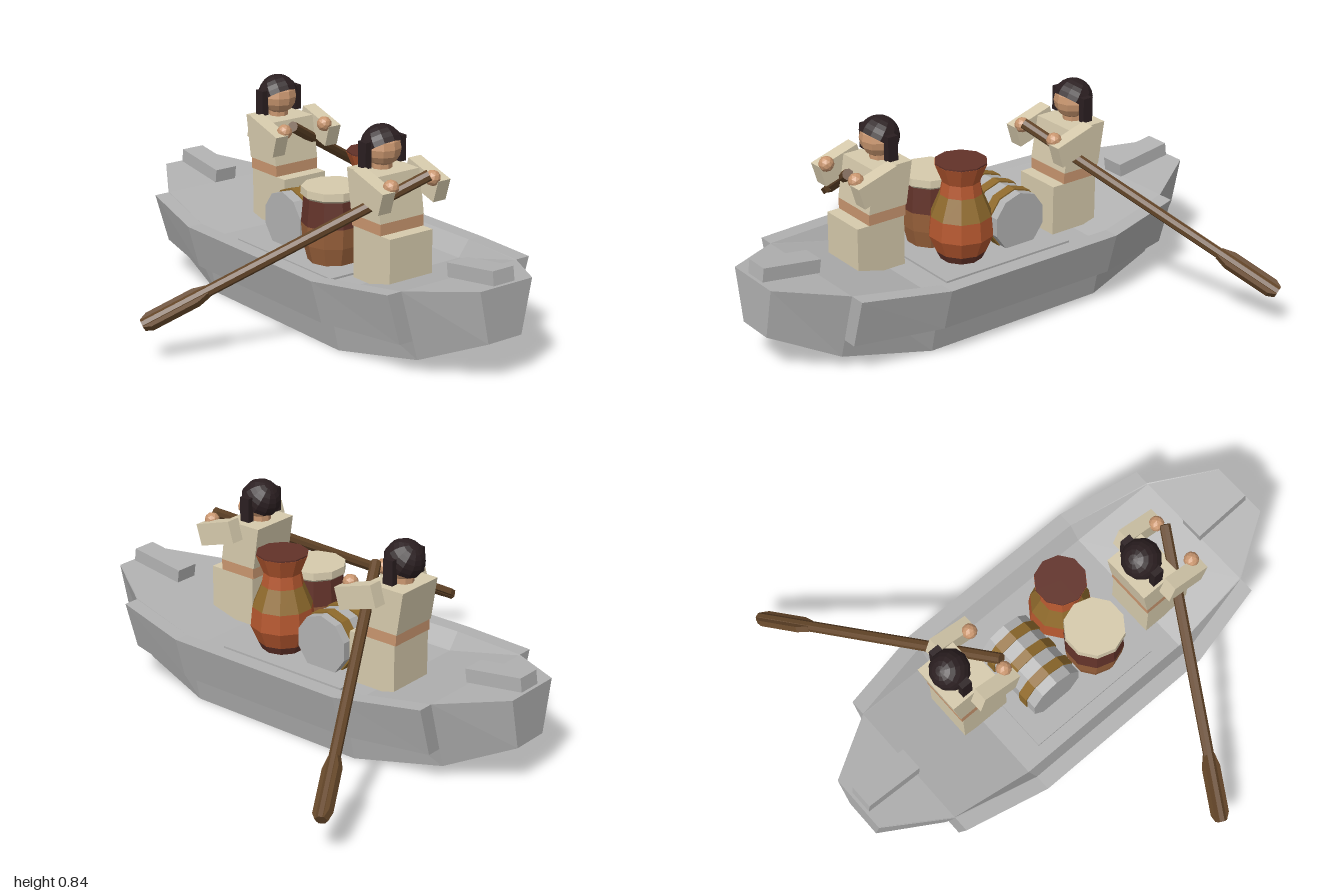
import * as THREE from 'three';

const mat = (name, color, side = THREE.FrontSide) => {
  const m = new THREE.MeshStandardMaterial({ color, side });
  m.name = name;
  return m;
};

// Faceted normals for the low-poly look
function flat(geo) {
  const g = geo.index ? geo.toNonIndexed() : geo;
  g.computeVertexNormals();
  return g;
}

// Skin a row of rings of [x, y, z]; rings run top, +z, bottom, -z, and rows run along +x
function loft(rings) {
  const n = rings[0].length, idx = [];
  for (let i = 0; i < rings.length - 1; i++) {
    for (let j = 0; j < n; j++) {
      const a = i * n + j, b = i * n + (j + 1) % n;
      idx.push(a, b, b + n, a, b + n, a + n);
    }
  }
  const last = (rings.length - 1) * n;
  for (let j = 1; j < n - 1; j++) idx.push(0, j + 1, j, last, last + j, last + j + 1);
  const g = new THREE.BufferGeometry();
  g.setAttribute('position', new THREE.Float32BufferAttribute(rings.flat(2), 3));
  g.setIndex(idx);
  return flat(g);
}

export function createModel() {
  const gray = mat('hull gray', 0xb2b2b2);
  const cloth = mat('cream cloth', 0xd6caac);
  const skin = mat('skin', 0xc9966f);
  const hair = mat('dark hair', 0x2b1f21);
  const wood = mat('paddle wood', 0x644629);
  const orange = mat('orange clay', 0xb4572f);
  const ochre = mat('ochre band', 0x8f6a2c);
  const maroon = mat('maroon', 0x623229);
  const brown = mat('drum brown', 0x99613b);

  const model = new THREE.Group();
  const add = (parent, name, geo, material, x = 0, y = 0, z = 0) => {
    const m = new THREE.Mesh(geo, material);
    m.name = name;
    m.position.set(x, y, z);
    parent.add(m);
    return m;
  };
  const box = (w, h, d) => new THREE.BoxGeometry(w, h, d);

  // Hull: half stations as x, bottom y/z, rim y/z, floor y/z
  const half = [
    [0.4, 0, 0.29, 0.305, 0.355, 0.24, 0.305],
    [0.75, 0.05, 0.2, 0.335, 0.28, 0.334, 0.275],
    [1, 0.16, 0.08, 0.37, 0.125, 0.37, 0.12],
  ];
  const mirrorX = a => [...a.map(([x, ...r]) => [-x, ...r]).reverse(), ...a];
  const hullRings = mirrorX(half).map(([x, by, bz, ry, rz, fy, fz]) => [
    [x, fy, fz], [x, ry, rz], [x, by, bz], [x, by, -bz], [x, ry, -rz], [x, fy, -fz],
  ]);
  const boat = new THREE.Group();
  boat.name = 'boat';
  model.add(boat);
  add(boat, 'hull', loft(hullRings), gray);

  // Side planks: x, top y, inner/outer top z, inner/outer bottom z
  const plank = [[0.4, 0.305, 0.355, 0.42, 0.3, 0.372], [0.75, 0.335, 0.28, 0.345, 0.22, 0.285]];
  for (const s of [1, -1]) {
    const rings = mirrorX(plank).map(([x, y, ti, to, bi, bo]) => {
      const r = [[x, y, s * ti], [x, y, s * to], [x, 0.13, s * bo], [x, 0.13, s * bi]];
      return s > 0 ? r : r.reverse();
    });
    add(boat, 'sidePlank', loft(rings), gray);
    // Raised block on each end deck
    add(boat, 'endBlock', box(0.25, 0.055, 0.1), gray, s * 0.86, 0.381, 0).rotation.z = s * 0.14;
  }
  add(boat, 'floorPlate', box(0.6, 0.008, 0.5), gray, 0, 0.244, 0);

  // Solid of revolution in coloured bands; rows are [radius, y, material of the band above]
  function banded(name, rows, sides, parent) {
    for (let i = 0; i < rows.length - 1; i++) {
      const [r0, y0, m] = rows[i], [r1, y1] = rows[i + 1];
      const g = new THREE.CylinderGeometry(r1, r0, y1 - y0, sides);
      add(parent, name + 'Band', flat(g), m, 0, (y0 + y1) / 2, 0);
    }
  }
  const cargo = (name, x, y, z) => {
    const g = new THREE.Group();
    g.name = name;
    g.position.set(x, y, z);
    model.add(g);
    return g;
  };

  // Tall waisted drum
  const vase = cargo('tallDrum', 0.12, 0, -0.1);
  banded('tallDrum', [
    [0.07, 0.22, maroon], [0.1, 0.28, orange], [0.13, 0.35, orange],
    [0.122, 0.43, ochre], [0.085, 0.52, orange], [0.075, 0.57, orange], [0.105, 0.645],
  ], 10, vase);
  add(vase, 'tallDrumHead', flat(new THREE.CylinderGeometry(0.104, 0.104, 0.006, 10)), maroon, 0, 0.648, 0);

  // Skin-topped drum
  const drum = cargo('skinDrum', 0.12, 0, 0.1);
  banded('skinDrum', [
    [0.09, 0.22, brown], [0.115, 0.32, brown], [0.122, 0.4, maroon],
    [0.112, 0.505, cloth], [0.124, 0.515, cloth], [0.122, 0.545],
  ], 10, drum);

  // Barrel lying on its side with three hoops
  const barrel = cargo('barrel', -0.125, 0.347, 0);
  barrel.rotation.x = Math.PI / 2;
  add(barrel, 'barrelBody', flat(new THREE.CylinderGeometry(0.12, 0.12, 0.315, 10)), gray);
  for (const y of [-0.1, -0.005, 0.092]) {
    add(barrel, 'barrelHoop', flat(new THREE.CylinderGeometry(0.126, 0.126, 0.042, 10)), ochre, 0, y, 0);
  }

  // Paddler facing +x; s picks the side of the paddle
  const torsoShape = new THREE.Shape([[-0.05, 0.5], [0.122, 0.5], [0.095, 0.675], [-0.077, 0.675]]
    .map(p => new THREE.Vector2(...p)));
  const torsoGeo = new THREE.ExtrudeGeometry(torsoShape, { depth: 0.21, bevelEnabled: false });
  function paddler(x, s) {
    const g = new THREE.Group();
    g.name = 'paddler';
    g.position.set(x, 0, s * 0.07);
    model.add(g);
    add(g, 'legs', box(0.215, 0.205, 0.205), cloth, 0.068, 0.3525, 0);
    add(g, 'waist', box(0.168, 0.045, 0.207), skin, 0.038, 0.4775, 0);
    add(g, 'torso', torsoGeo, cloth, 0, 0, -0.105);
    add(g, 'neck', flat(new THREE.CylinderGeometry(0.04, 0.04, 0.04, 8)), skin, 0, 0.69, 0);
    add(g, 'head', flat(new THREE.SphereGeometry(0.073, 10, 8)), skin, 0.004, 0.755, 0);
    const cap = flat(new THREE.SphereGeometry(0.081, 12, 7, 0, Math.PI * 2, 0, Math.PI * 0.56));
    add(g, 'hairCap', cap, hair, 0, 0.76, 0).rotation.z = 0.6;
    for (const k of [1, -1]) {
      add(g, 'hairLock', box(0.045, 0.1, 0.028), hair, 0.002, 0.738, k * 0.083);
      add(g, 'arm', box(0.18, 0.09, 0.06), cloth, 0.105, 0.63, k * 0.132).rotation.z = -0.3;
      add(g, 'hand', flat(new THREE.IcosahedronGeometry(0.031, 1)), skin, 0.175, 0.655, k * 0.1);
    }

    // Paddle held across the body, blade out to the side
    const top = new THREE.Vector3(0.19, 0.675, -s * 0.07);
    const tip = new THREE.Vector3(-0.325, 0.15, s * 0.865);
    const dir = top.clone().sub(tip), len = dir.length();
    const paddle = new THREE.Group();
    paddle.name = 'paddle';
    paddle.position.copy(tip);
    paddle.quaternion.setFromUnitVectors(new THREE.Vector3(0, 1, 0), dir.normalize());
    g.add(paddle);
    add(paddle, 'paddleShaft', flat(new THREE.CylinderGeometry(0.022, 0.022, len, 8)), wood, 0, len / 2, 0);
    const blade = new THREE.Shape([[-0.02, 0], [0.02, 0], [0.036, 0.03], [0.036, 0.22], [0.02, 0.27],
      [-0.02, 0.27], [-0.036, 0.22], [-0.036, 0.03]].map(p => new THREE.Vector2(...p)));
    add(paddle, 'paddleBlade', new THREE.ExtrudeGeometry(blade, { depth: 0.026, bevelEnabled: false }),
      wood, 0, 0, -0.013);
  }
  paddler(0.38, 1);
  paddler(-0.455, -1);

  return model;
}
